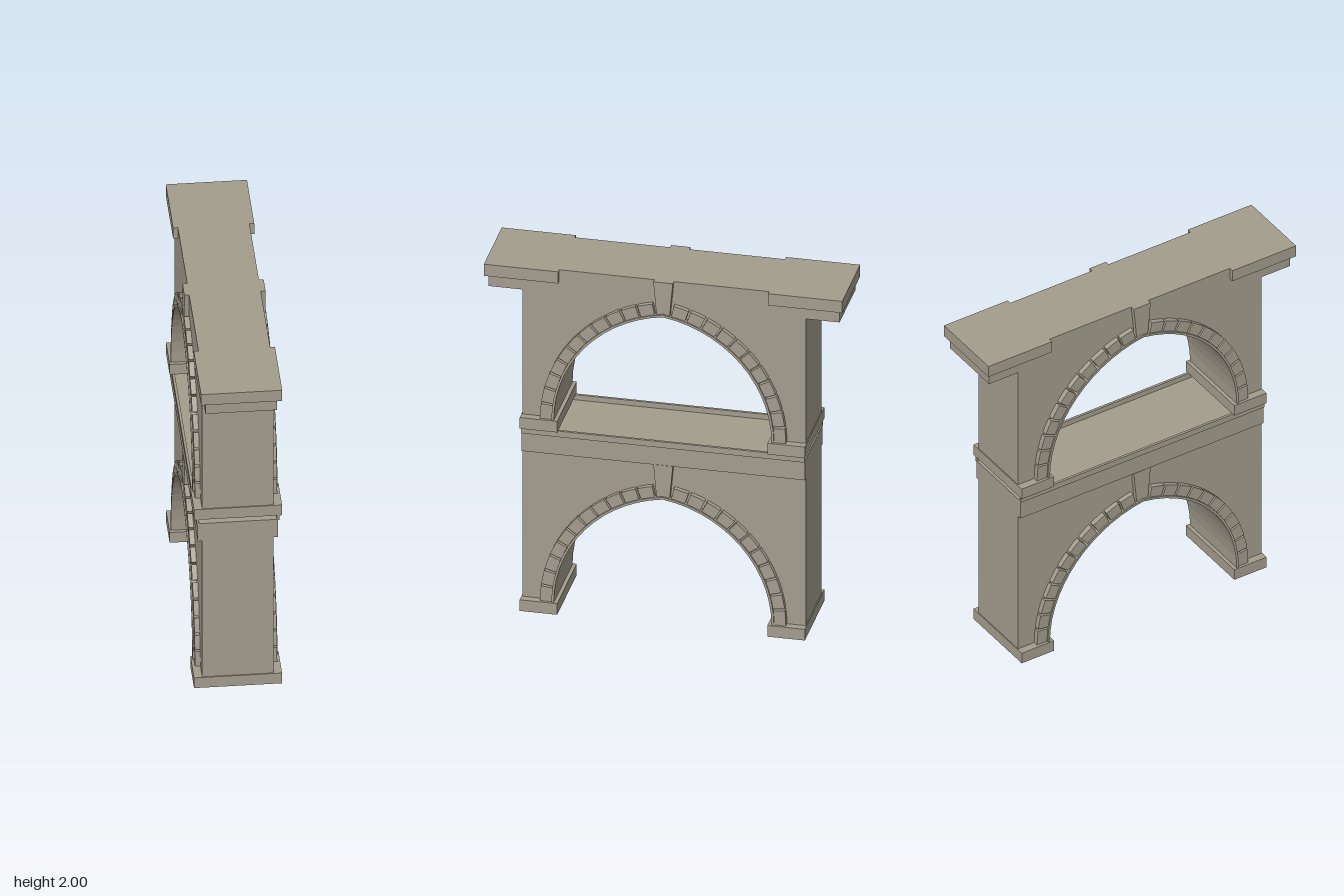
import * as THREE from 'three';

const stone = new THREE.MeshStandardMaterial({ color: 0xa39d8d });
stone.name = 'stone';

// Pointed arch: each half is an arc centred C beyond the middle line
const C = 0.097, R_IN = 0.677, R_LIP = 0.69, R_OUT = 0.752;
const WALL = 0.187, HALF = 0.755;

function arc(r, a0, a1, n, side, y0) {
  const pts = [];
  for (let i = 0; i <= n; i++) {
    const a = a0 + (a1 - a0) * i / n;
    pts.push(new THREE.Vector2(side * (r * Math.cos(a) - C), y0 + r * Math.sin(a)));
  }
  return pts;
}
const apex = r => Math.acos(C / r);

// Extrude a (z, y) outline across x from x0 to x1
function slab(name, points, x0, x1) {
  const g = new THREE.ExtrudeGeometry(new THREE.Shape(points), { depth: x1 - x0, bevelEnabled: false });
  g.rotateY(-Math.PI / 2);
  g.translate(x1, 0, 0);
  const m = new THREE.Mesh(g, stone);
  m.name = name;
  return m;
}

function box(name, x0, x1, y0, y1, z0, z1) {
  const m = new THREE.Mesh(new THREE.BoxGeometry(x1 - x0, y1 - y0, z1 - z0), stone);
  m.position.set((x0 + x1) / 2, (y0 + y1) / 2, (z0 + z1) / 2);
  m.name = name;
  return m;
}

// One storey: wall with arch opening, base blocks, arch stones and keystones
function createStorey(name, base, top) {
  const storey = new THREE.Group();
  storey.name = name;
  const spring = base + 0.065, foot = base + 0.01;
  const v = (z, y) => new THREE.Vector2(z, y);

  const right = arc(R_IN, 0, apex(R_IN), 14, 1, spring);
  const left = arc(R_IN, 0, apex(R_IN), 14, -1, spring).reverse().slice(1);
  storey.add(slab('archWall', [
    v(HALF, foot), v(HALF, top), v(-HALF, top), v(-HALF, foot),
    v(C - R_IN, foot), ...left.reverse(), ...right.reverse(), v(R_IN - C, foot),
  ], -WALL, WALL));

  for (const s of [1, -1]) {
    storey.add(box('baseBlock', -0.23, 0.23, base, spring, s > 0 ? 0.56 : -0.76, s > 0 ? 0.76 : -0.56));
  }

  for (const face of [1, -1]) {
    const across = (n, pts, d) => storey.add(
      face > 0 ? slab(n, pts, WALL - 0.005, d) : slab(n, pts, -d, -WALL + 0.005));

    for (const s of [1, -1]) {
      // thin lip along the opening
      across('archLip', [
        ...arc(R_IN, 0, apex(R_IN), 14, s, spring),
        ...arc(R_LIP, 0, apex(R_LIP), 14, s, spring).reverse(),
      ], 0.222);
      // separate arch stones with open joints
      const count = 11, end = 1.372, step = end / count, gap = 0.008;
      for (let i = 0; i < count; i++) {
        const a0 = i * step + (i ? gap : 0), a1 = (i + 1) * step - gap;
        across('archStone', [
          ...arc(R_LIP, a0, a1, 2, s, spring),
          ...arc(R_OUT, a0, a1, 2, s, spring).reverse(),
        ], 0.215);
      }
    }
    // tapered keystone
    across('keystone', [
      v(-0.035, spring + 0.675), v(0.035, spring + 0.675), v(0.052, top), v(-0.052, top),
    ], 0.212);
  }
  return storey;
}

export function createModel() {
  const model = new THREE.Group();
  model.name = 'archedBridgeSection';

  model.add(createStorey('lowerStorey', 0, 0.93));
  model.add(createStorey('upperStorey', 1.068, 2));

  // Deck between storeys, with a narrow rail on each long side
  model.add(box('deck', -0.21, 0.21, 0.928, 1.04, -HALF, HALF));
  for (const s of [1, -1]) {
    model.add(box('deckRail', s > 0 ? 0.203 : -0.217, s > 0 ? 0.217 : -0.203, 1.035, 1.07, -HALF, HALF));
  }

  // Stepped caps overhanging both ends
  for (const s of [1, -1]) {
    const span = (a, b) => (s > 0 ? [a, b] : [-b, -a]);
    model.add(box('capSlab', -0.212, 0.212, 1.932, 2, ...span(0.56, 0.955)));
    model.add(box('capCorbel', -WALL, WALL, 1.862, 1.935, ...span(0.74, 0.935)));
  }
  return model;
}
